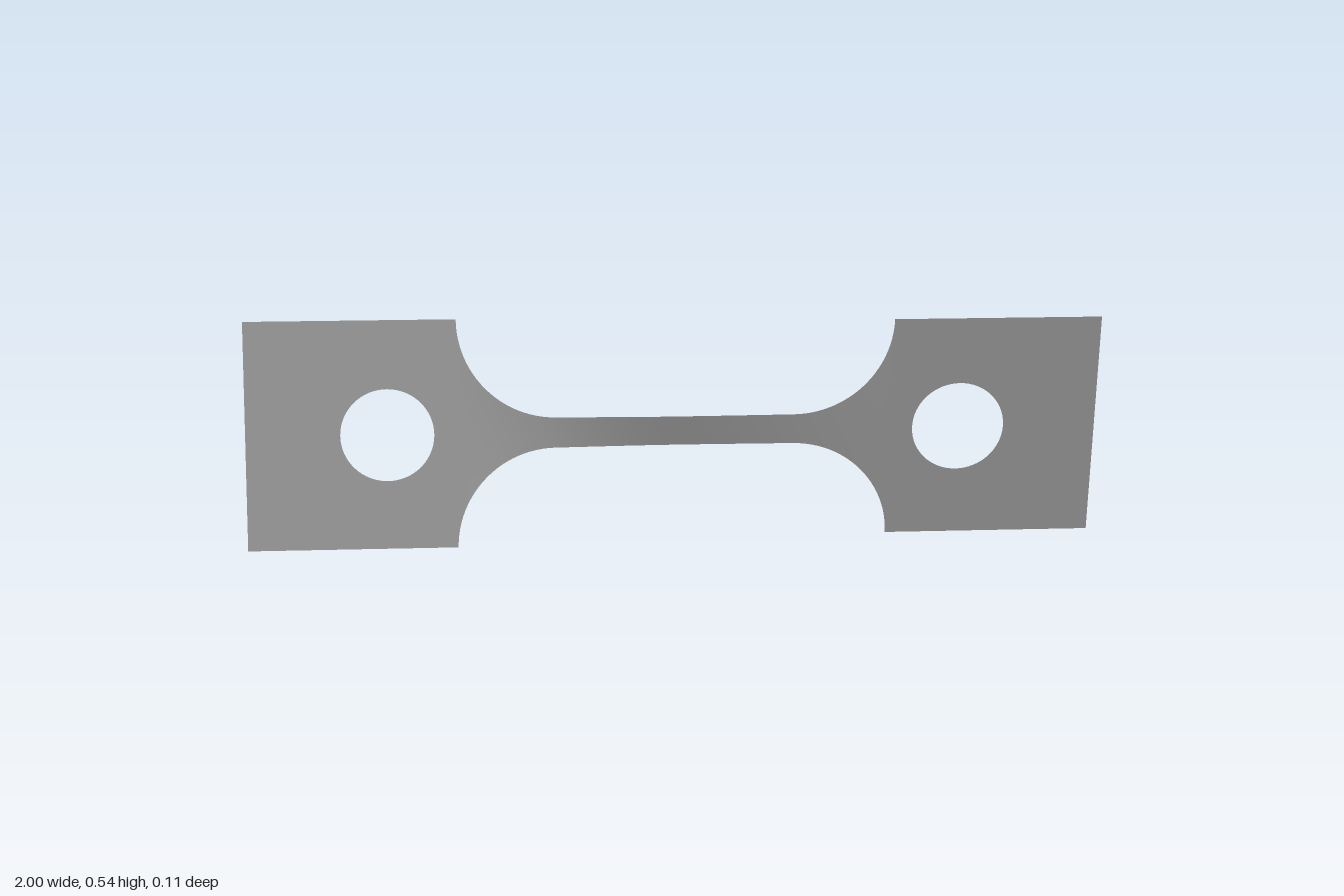
import * as THREE from 'three';

const MID_Y = 0.271;      // height of the long axis
const HALF_GRIP = 0.271;  // half height of a grip
const FILLET_X = 0.28;    // where the straight gauge ends
const GRIP_X = 0.51;      // inner edge of a grip
const HALF_NECK = 0.037;  // half height of the gauge

// Twist about the long axis: nearly flat at one grip, most at the middle
function twist(x) {
  const [left, middle, right] = [0.013, 0.29, 0.205];
  return x < 0
    ? THREE.MathUtils.lerp(left, middle, THREE.MathUtils.smoothstep(x, -GRIP_X, 0))
    : THREE.MathUtils.lerp(middle, right, THREE.MathUtils.smoothstep(x, 0, GRIP_X));
}

// Flat sheet end with a round pin hole
function makeGrip(side, material) {
  const shape = new THREE.Shape();
  const a = Math.min(side * GRIP_X, side), b = Math.max(side * GRIP_X, side);
  shape.moveTo(a, -HALF_GRIP);
  shape.lineTo(b, -HALF_GRIP);
  shape.lineTo(b, HALF_GRIP);
  shape.lineTo(a, HALF_GRIP);
  shape.closePath();
  const hole = new THREE.Path();
  hole.absarc(side * 0.672, 0, 0.109, 0, Math.PI * 2, true);
  shape.holes.push(hole);
  const grip = new THREE.Mesh(new THREE.ShapeGeometry(shape, 32), material);
  grip.rotation.x = twist(side);
  grip.position.y = MID_Y;
  return grip;
}

// Narrow gauge with curved fillets, twisted column by column
function makeNeck(material) {
  const geometry = new THREE.PlaneGeometry(2, 2, 96, 6);
  const p = geometry.attributes.position;
  for (let i = 0; i < p.count; i++) {
    const u = p.getX(i), v = p.getY(i);
    let x = u * 2 * FILLET_X, half = HALF_NECK;
    if (Math.abs(u) > 0.5) {
      const t = (Math.abs(u) - 0.5) * Math.PI;
      x = Math.sign(u) * (FILLET_X + (GRIP_X - FILLET_X) * Math.sin(t));
      half = HALF_GRIP - (HALF_GRIP - HALF_NECK) * Math.cos(t);
    }
    const angle = twist(x);
    p.setXYZ(i, x, v * half * Math.cos(angle), v * half * Math.sin(angle));
  }
  geometry.computeVertexNormals();
  const neck = new THREE.Mesh(geometry, material);
  neck.position.y = MID_Y;
  return neck;
}

export function createModel() {
  const model = new THREE.Group();
  model.name = 'twistedTestStrip';
  const grey = new THREE.MeshStandardMaterial({ color: 0xb0b0b0, side: THREE.DoubleSide });
  grey.name = 'sheet grey';

  const neck = makeNeck(grey);
  neck.name = 'neck';
  model.add(neck);
  for (const [side, name] of [[-1, 'rightGrip'], [1, 'leftGrip']]) {
    const grip = makeGrip(side, grey);
    grip.name = name;
    model.add(grip);
  }
  return model;
}
